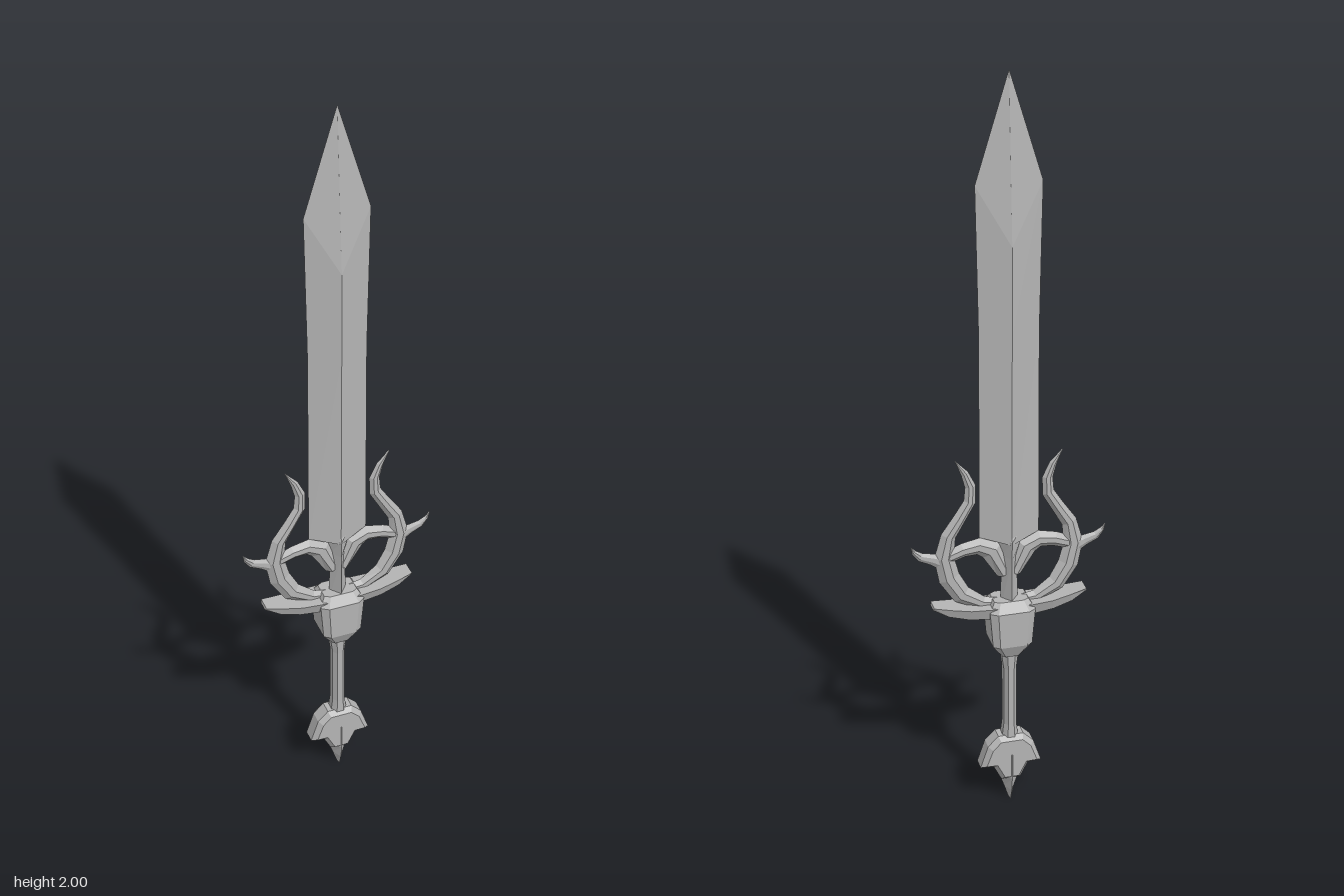
import * as THREE from 'three';

const steel = new THREE.MeshStandardMaterial({ color: 0xb4b4b4, flatShading: true });
steel.name = 'steel';

// Cross-sections: [across the path, along z], counter-clockwise
const DIAMOND = [[1, 0], [0, 1], [-1, 0], [0, -1]];
const HEX = [[1, 0], [0.35, 1], [-0.35, 1], [-1, 0], [-0.35, -1], [0.35, -1]];
const OCTAGON = [[1, -0.45], [1, 0.45], [0.45, 1], [-0.45, 1], [-1, 0.45], [-1, -0.45], [-0.45, -1], [0.45, -1]];
const BLOCK = [[1, -0.75], [1, 0.75], [0.68, 1], [-0.68, 1], [-1, 0.75], [-1, -0.75], [-0.68, -1], [0.68, -1]];
const BAR = [[1, -1], [1, 1], [-1, 0.7], [-1, -0.7]];

// Skin between rings of points, closed at both ends
function loft(rings) {
  const out = [];
  const tri = (a, b, c) => out.push(...a, ...b, ...c);
  const n = rings[0].length;
  for (let r = 0; r < rings.length - 1; r++) {
    for (let i = 0; i < n; i++) {
      const j = (i + 1) % n;
      const a = rings[r], b = rings[r + 1];
      tri(a[i], a[j], b[j]);
      tri(a[i], b[j], b[i]);
    }
  }
  const first = rings[0], last = rings[rings.length - 1];
  for (let i = 1; i < n - 1; i++) {
    tri(first[0], first[i + 1], first[i]);
    tri(last[0], last[i], last[i + 1]);
  }
  const g = new THREE.BufferGeometry();
  g.setAttribute('position', new THREE.Float32BufferAttribute(out, 3));
  g.computeVertexNormals();
  return g;
}

// Sweep a section along stations [x, y, halfWidth, halfDepth] in the xy plane
function sweep(stations, section) {
  return loft(stations.map(([x, y, w, d], i) => {
    const p = stations[Math.max(i - 1, 0)];
    const q = stations[Math.min(i + 1, stations.length - 1)];
    const len = Math.hypot(q[0] - p[0], q[1] - p[1]);
    const nx = -(q[1] - p[1]) / len, ny = (q[0] - p[0]) / len;
    return section.map(([u, v]) => [x + nx * w * u, y + ny * w * u, v * d]);
  }));
}

export function createModel() {
  const group = new THREE.Group();
  group.name = 'sword';
  const add = (name, geometry) => {
    const mesh = new THREE.Mesh(geometry, steel);
    mesh.name = name;
    group.add(mesh);
  };

  // Blade: [edge height, ridge height, half width, half depth]
  const bladeRings = [
    [0.80, 0.78, 0.078, 0.028],
    [1.35, 1.35, 0.076, 0.03],
    [1.73, 1.58, 0.083, 0.03],
    [2.0, 2.0, 0.0005, 0.0005],
  ].map(([e, r, w, d]) => [[-w, e, 0], [0, r, d], [w, e, 0], [0, r, -d]]);
  add('blade', loft(bladeRings));

  // Narrow core below the blade, fanning out at its top
  add('bladeCore', sweep([
    [0, 0.58, 0.024, 0.03], [0, 0.74, 0.02, 0.03],
    [0, 0.79, 0.034, 0.032], [0, 0.84, 0.05, 0.012],
  ], DIAMOND));

  // Curved ornaments on both sides
  for (const [side, s] of [['left', 1], ['right', -1]]) {
    const mirrored = (list) => list.map(([x, y, w, d]) => [s * x, y, w, d]);
    add(side + 'Ring', sweep(mirrored([
      [0.01, 0.603, 0.012, 0.008], [0.07, 0.61, 0.018, 0.012],
      [0.125, 0.642, 0.026, 0.013], [0.157, 0.695, 0.028, 0.013],
      [0.17, 0.755, 0.026, 0.013], [0.158, 0.815, 0.02, 0.013],
      [0.128, 0.862, 0.017, 0.012], [0.102, 0.905, 0.016, 0.01],
      [0.1, 0.948, 0.014, 0.008], [0.114, 0.985, 0.01, 0.006],
      [0.138, 1.022, 0.001, 0.003],
    ]), HEX));
    add(side + 'SideHorn', sweep(mirrored([
      [0.165, 0.742, 0.026, 0.01], [0.2, 0.755, 0.016, 0.006],
      [0.23, 0.765, 0.012, 0.005], [0.246, 0.78, 0.007, 0.004],
      [0.254, 0.795, 0.001, 0.003],
    ]), HEX));
    add(side + 'Arm', sweep(mirrored([
      [0.168, 0.752, 0.018, 0.01], [0.12, 0.77, 0.02, 0.012],
      [0.08, 0.776, 0.024, 0.013], [0.045, 0.76, 0.03, 0.014],
      [0.012, 0.69, 0.02, 0.014],
    ]), HEX));
  }

  // Crossguard with upturned ends
  add('crossguard', sweep([
    [-0.203, 0.619, 0.004, 0.021], [-0.16, 0.604, 0.012, 0.029],
    [-0.11, 0.594, 0.015, 0.036], [-0.05, 0.59, 0.017, 0.04],
    [0.05, 0.59, 0.017, 0.04], [0.11, 0.594, 0.015, 0.036],
    [0.16, 0.604, 0.012, 0.029], [0.203, 0.619, 0.004, 0.021],
  ], BAR));

  // Chamfered block at the centre of the guard
  add('guardBlock', sweep([
    [0, 0.455, 0.024, 0.03], [0, 0.495, 0.052, 0.05],
    [0, 0.595, 0.06, 0.052], [0, 0.62, 0.045, 0.032],
  ], BLOCK));

  // Grip
  add('grip', sweep([
    [0, 0.18, 0.024, 0.024], [0, 0.24, 0.017, 0.023],
    [0, 0.41, 0.017, 0.023], [0, 0.48, 0.026, 0.025],
  ], OCTAGON));

  // Winged pommel
  const half = [[0.034, 0.206], [0.062, 0.178], [0.083, 0.115], [0.047, 0.112], [0.026, 0.07]];
  const outline = [...half, ...half.map(([x, y]) => [-x, y]).reverse()];
  const pommel = new THREE.ExtrudeGeometry(
    new THREE.Shape(outline.map(([x, y]) => new THREE.Vector2(x, y))),
    { depth: 0.036, bevelThickness: 0.014, bevelSize: 0.012, bevelOffset: -0.012, bevelSegments: 1 },
  );
  pommel.translate(0, 0, -0.018);
  add('pommel', pommel);

  // Ridged spike under the pommel
  add('pommelSpike', sweep([
    [0, 0, 0.003, 0.017], [0, 0.035, 0.014, 0.028],
    [0, 0.075, 0.028, 0.034], [0, 0.15, 0.035, 0.034],
  ], DIAMOND));

  return group;
}
